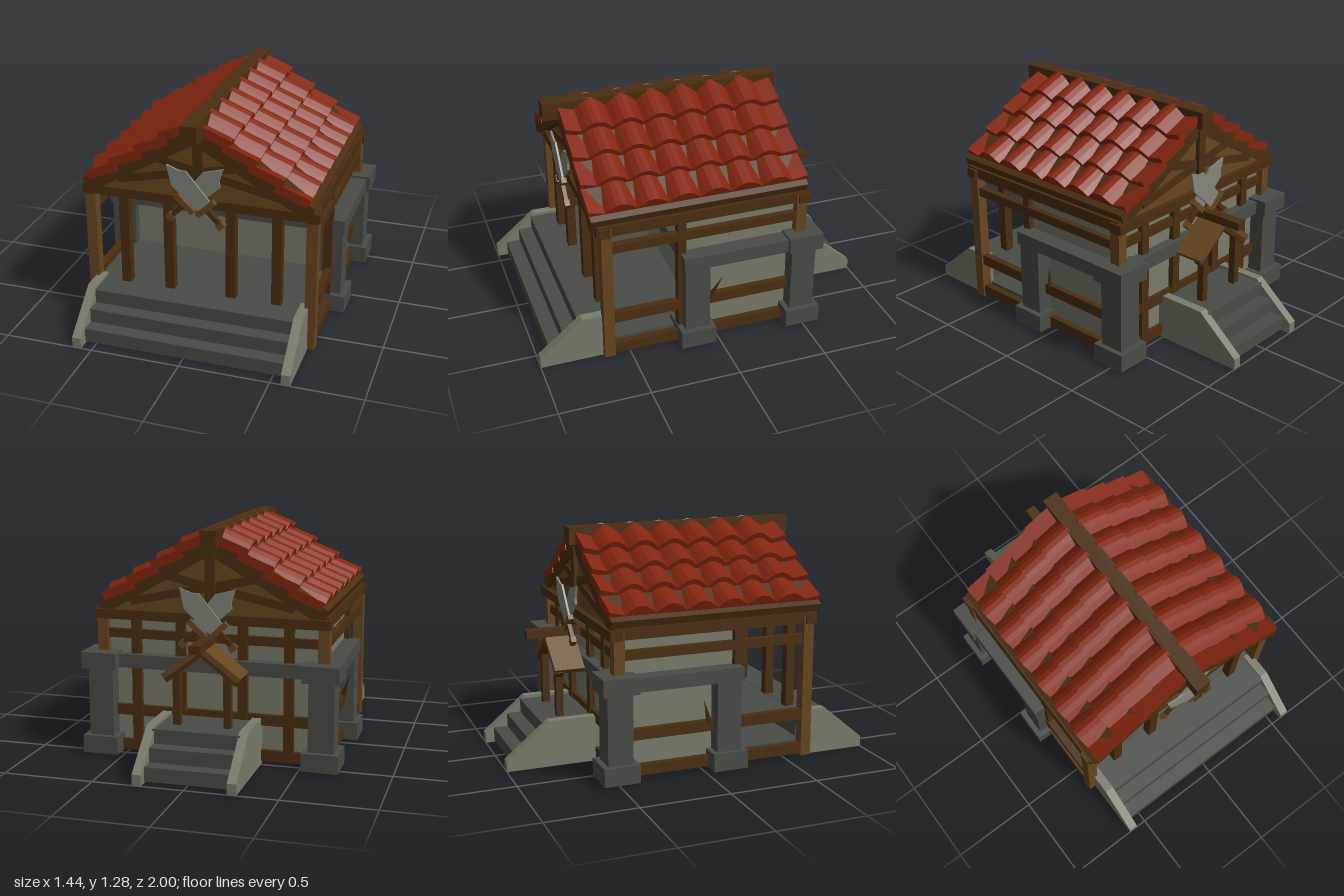
import * as THREE from 'three';

const mat = (name, color) => {
  const m = new THREE.MeshStandardMaterial({ color });
  m.name = name;
  return m;
};

export function createModel() {
  const red = mat('roofRed', 0x84260f);
  const dark = mat('darkTimber', 0x4a2e10);
  const wood = mat('lightTimber', 0x67461f);
  const plaster = mat('plaster', 0x7a7b6c);
  const stone = mat('darkStone', 0x4a4c47);
  const steel = mat('steel', 0x83867c);

  const model = new THREE.Group();
  model.name = 'timberHall';

  const add = (parent, name, geo, material) => {
    const m = new THREE.Mesh(geo, material);
    m.name = name;
    parent.add(m);
    return m;
  };
  // Box given by its extents
  const box = (parent, name, material, x0, x1, y0, y1, z0, z1) => {
    const m = add(parent, name, new THREE.BoxGeometry(x1 - x0, y1 - y0, z1 - z0), material);
    m.position.set((x0 + x1) / 2, (y0 + y1) / 2, (z0 + z1) / 2);
    return m;
  };
  // The same box on both sides of x = 0
  const pair = (parent, name, material, x0, x1, ...r) => {
    box(parent, name + 'Left', material, x0, x1, ...r);
    box(parent, name + 'Right', material, -x1, -x0, ...r);
  };
  // Bar between two points in an upright plane
  const bar = (parent, name, material, a, b, w, z0, z1) => {
    const m = add(parent, name, new THREE.BoxGeometry(Math.hypot(b[0] - a[0], b[1] - a[1]), w, z1 - z0), material);
    m.position.set((a[0] + b[0]) / 2, (a[1] + b[1]) / 2, (z0 + z1) / 2);
    m.rotation.z = Math.atan2(b[1] - a[1], b[0] - a[0]);
    return m;
  };
  const extrude = (pts, depth) => new THREE.ExtrudeGeometry(
    new THREE.Shape(pts.map(p => new THREE.Vector2(...p))), { depth, bevelEnabled: false });

  // Floors
  box(model, 'baseSlab', stone, -0.58, 0.58, 0.01, 0.08, 0.2, 0.8);
  box(model, 'rearBase', dark, -0.6, 0.6, 0.012, 0.078, -0.47, 0.2);
  box(model, 'porchFloor', stone, -0.6, 0.6, 0.22, 0.242, -0.47, 0.66);
  for (const x of [-0.26, 0.26]) box(model, 'footPad', stone, x - 0.03, x + 0.03, 0, 0.01, 0.62, 0.68);

  // Stairs with sloping side walls, built towards +z
  const stairs = (name, half, inner, zBack, zTop, foot) => {
    const g = new THREE.Group();
    g.name = name;
    [0, 1, 2].forEach(i => box(g, 'step', stone, -inner, inner, 0.01 + i * 0.078, 0.088 + i * 0.078,
      i === 2 ? zBack : 0.69 - i * 0.08, foot - i * 0.08));
    const profile = [[-zBack, 0], [-zBack, 0.26], [-zTop, 0.26], [-1, 0.06], [-1, 0]].reverse();
    for (const x of [-half, half - 0.05]) {
      const w = add(g, 'stairWall', extrude(profile, 0.05), plaster);
      w.rotation.y = Math.PI / 2;
      w.position.x = x;
    }
    model.add(g);
    return g;
  };
  stairs('frontStairs', 0.61, 0.57, 0.6, 0.76, 0.94);
  stairs('rearStairs', 0.28, 0.24, 0.47, 0.76, 0.95).rotation.y = Math.PI;

  // Plaster walls
  box(model, 'frontWall', plaster, -0.6, 0.6, 0.08, 0.82, 0.12, 0.15);
  box(model, 'rearWall', plaster, -0.6, 0.6, 0.02, 0.82, -0.47, -0.44);
  pair(model, 'sideWall', plaster, 0.58, 0.605, 0.02, 0.82, -0.46, 0.19);

  // Corner posts and porch posts
  pair(model, 'frontPost', wood, 0.59, 0.65, 0.01, 0.82, 0.59, 0.65);
  pair(model, 'rearPost', wood, 0.59, 0.65, 0.01, 0.82, -0.51, -0.45);
  pair(model, 'middlePost', dark, 0.585, 0.635, 0.08, 0.82, 0.18, 0.225);
  for (const x of [0.175, 0.43]) {
    pair(model, 'porchPost', dark, x - 0.027, x + 0.027, 0.24, 0.78, 0.59, 0.64);
    pair(model, 'rearStud', dark, x - 0.027, x + 0.027, 0.02, 0.78, -0.5, -0.45);
  }

  // Horizontal rails
  for (const [y0, y1] of [[0.02, 0.08], [0.22, 0.28], [0.66, 0.71]]) {
    pair(model, 'sideRail', dark, 0.6, 0.64, y0, y1, -0.47, 0.6);
    box(model, 'rearRail', dark, -0.6, 0.6, y0, y1, -0.495, -0.46);
  }
  pair(model, 'topPlate', dark, 0.595, 0.645, 0.77, 0.83, -0.5, 0.67);
  box(model, 'frontLintel', dark, -0.66, 0.66, 0.77, 0.822, 0.6, 0.66);
  box(model, 'rearLintel', dark, -0.66, 0.66, 0.77, 0.822, -0.53, -0.46);

  // Stone columns and bands
  for (const z of [0.13, -0.49]) {
    pair(model, 'column', stone, 0.55, 0.69, 0.02, 0.52, z - 0.07, z + 0.07);
    pair(model, 'columnBase', stone, 0.52, 0.72, 0.012, 0.112, z - 0.1, z + 0.1);
  }
  pair(model, 'columnCap', stone, 0.52, 0.72, 0.495, 0.588, -0.59, -0.39);
  pair(model, 'sideBand', stone, 0.56, 0.7, 0.5, 0.576, -0.4, 0.21);
  box(model, 'frontBand', stone, -0.6, 0.6, 0.5, 0.576, 0.12, 0.2);
  box(model, 'rearBand', stone, -0.55, 0.55, 0.5, 0.576, -0.53, -0.45);

  // Broken slivers on the side walls
  for (const s of [-1, 1]) {
    const c = add(model, 'splinter', new THREE.ConeGeometry(0.018, 0.17, 4), dark);
    c.position.set(s * 0.655, 0.34, 0.01);
    c.rotation.set(-0.35, 0, -s * 0.3);
  }

  // Roof: timber slab, ridge beam and overlapping rows of tiles
  const deck = add(model, 'roofTimber', extrude(
    [[0, 1.25], [-0.64, 0.87], [-0.61, 0.79], [0, 1.14], [0.61, 0.79], [0.64, 0.87]], 1.21), dark);
  deck.position.z = -0.515;
  box(model, 'ridgeBeam', dark, -0.045, 0.045, 1.18, 1.275, -0.555, 0.785);

  const pitch = 0.174, half = 0.61;
  const wave = [[-half, -0.02], [half, -0.02], [half, 0.03], [3 * pitch, 0.012]];
  for (let i = 5; i >= 0; i--) {
    for (let k = 5; k >= 0; k--) {
      wave.push([(i - 3 + k / 6) * pitch, 0.006 + 0.05 * Math.sin(Math.PI * k / 6)]);
    }
  }
  wave.push([-half, 0.03]);
  const tileGeo = extrude(wave, 0.19);
  const tilt = 0.38;
  const down = new THREE.Vector3(Math.cos(tilt), -Math.sin(tilt), 0);
  const up = new THREE.Vector3(Math.sin(tilt), Math.cos(tilt), 0);
  const basis = new THREE.Matrix4().makeBasis(new THREE.Vector3(0, 0, -1), up, down);
  for (const side of [0, 1]) {
    const slope = new THREE.Group();
    slope.name = side ? 'roofRight' : 'roofLeft';
    for (let i = 0; i < 4; i++) {
      const row = add(slope, 'tileRow', tileGeo, red);
      row.quaternion.setFromRotationMatrix(basis);
      row.position.set(0.21 + i * 0.14, 1.21 - i * 0.09, 0)
        .addScaledVector(up, -0.055).addScaledVector(down, -0.19);
    }
    slope.rotation.y = side * Math.PI;
    slope.position.z = 0.09;
    model.add(slope);
  }

  // Crossed blades, facing +z
  const emblem = () => {
    const g = new THREE.Group();
    g.name = 'crossedBlades';
    for (const s of [-1, 1]) {
      const b = new THREE.Group();
      b.name = 'blade';
      add(b, 'bladeSteel', extrude([[-0.045, -0.08], [0.045, -0.08], [0.06, 0.13], [0.035, 0.15], [0, 0.22], [-0.06, 0.12]], 0.012), steel);
      box(b, 'guard', wood, -0.065, 0.065, -0.105, -0.075, -0.008, 0.022);
      box(b, 'grip', dark, -0.013, 0.013, -0.2, -0.1, -0.005, 0.018);
      box(b, 'pommel', wood, -0.022, 0.022, -0.225, -0.19, -0.008, 0.022);
      b.rotation.z = s * 0.76;
      b.position.z = s * 0.012;
      g.add(b);
    }
    return g;
  };

  // Gable ends, facing +z
  const gable = (name, z, turn, emblemY) => {
    const g = new THREE.Group();
    g.name = name;
    add(g, 'gableBoards', extrude([[-0.61, 0.8], [0.61, 0.8], [0, 1.16]], 0.02), wood);
    box(g, 'kingPost', dark, -0.026, 0.026, 0.8, 1.16, 0.01, 0.045);
    bar(g, 'brace', dark, [-0.46, 0.87], [0.25, 1.02], 0.045, 0.01, 0.03);
    bar(g, 'brace', dark, [0.46, 0.87], [-0.25, 1.02], 0.045, 0.01, 0.028);
    const e = emblem();
    e.position.set(0, emblemY, 0.075);
    g.add(e);
    g.position.z = z;
    g.rotation.y = turn;
    model.add(g);
  };
  gable('frontGable', 0.61, 0, 0.86);
  gable('rearGable', -0.48, Math.PI, 0.81);

  // Small canopy over the rear entrance
  box(model, 'canopyRidge', dark, -0.03, 0.03, 0.665, 0.71, -0.805, -0.47);
  for (const s of [-1, 1]) {
    bar(model, 'canopyBoard', wood, [0, 0.67], [s * 0.21, 0.51], 0.03, -0.7, -0.53);
    bar(model, 'canopyRafter', dark, [0, 0.645], [s * 0.2, 0.49], 0.035, -0.69, -0.65);
  }
  pair(model, 'canopyPost', dark, 0.12, 0.16, 0.24, 0.55, -0.68, -0.64);

  return model;
}
